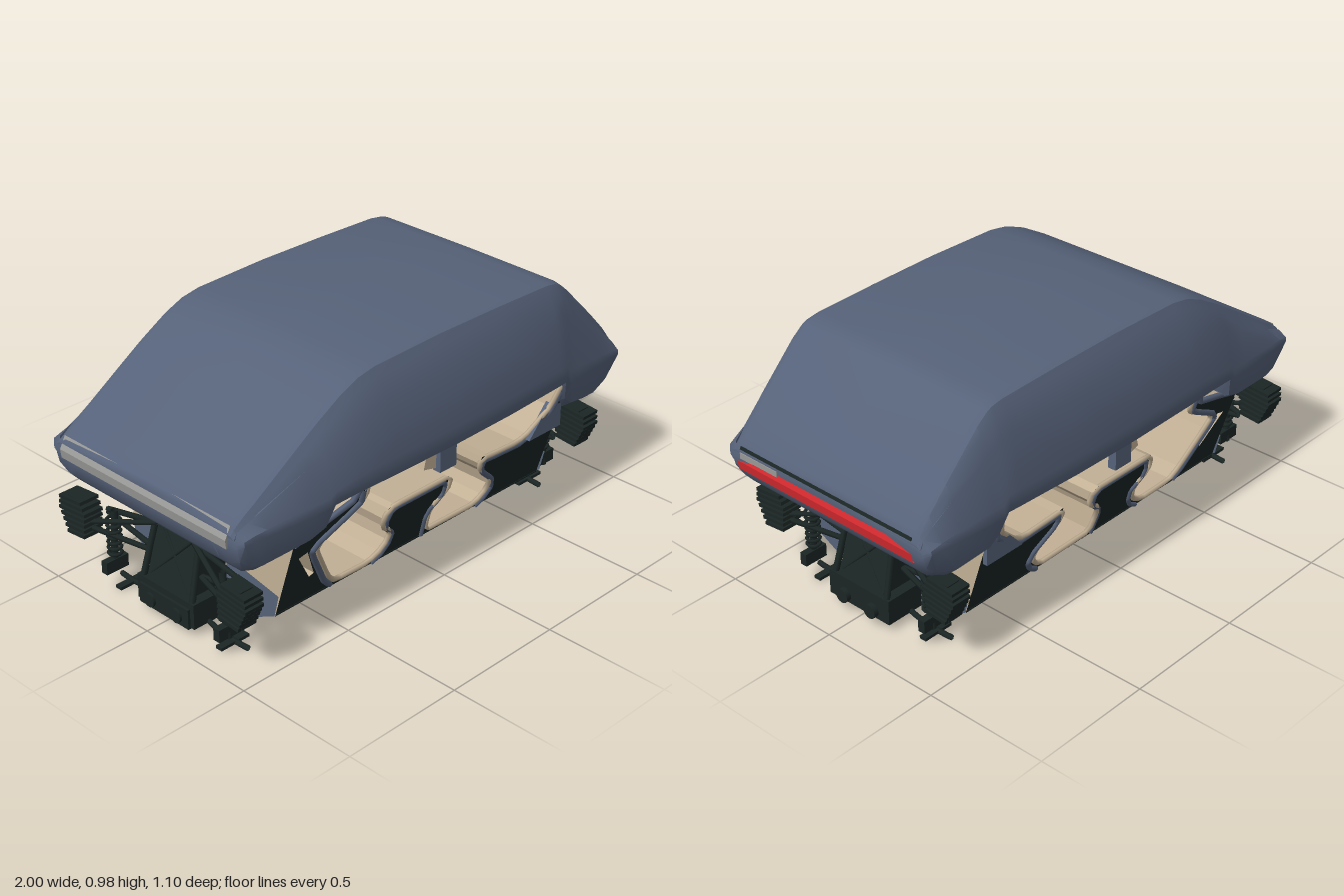
import * as THREE from 'three';
import { toCreasedNormals } from 'three/addons/utils/BufferGeometryUtils.js';

const mat = (name, color) => {
  const m = new THREE.MeshStandardMaterial({ color, side: THREE.DoubleSide });
  m.name = name;
  return m;
};

export function createModel() {
  const root = new THREE.Group();
  root.name = 'vehicle';
  const blue = mat('slate blue', 0x566279);
  const cream = mat('cream lining', 0xc2b095);
  const dark = mat('dark chassis', 0x1b2624);
  const red = mat('red light', 0xd42a2e);
  const grey = mat('grey light', 0x989896);

  const add = (name, geo, material, parent = root) => {
    const m = new THREE.Mesh(geo, material);
    m.name = name;
    parent.add(m);
    return m;
  };
  const box = (name, s, p, material, parent = root) => {
    const m = add(name, new THREE.BoxGeometry(...s), material, parent);
    m.position.set(...p);
    return m;
  };
  // round bar between two points
  const bar = (name, a, b, r, material, parent = root) =>
    add(name, new THREE.TubeGeometry(new THREE.LineCurve3(new THREE.Vector3(...a), new THREE.Vector3(...b)), 1, r, 6), material, parent);
  const shapeOf = pts => new THREE.Shape(pts.map(p => new THREE.Vector2(...p)));
  const extrude = (pts, depth) => new THREE.ExtrudeGeometry(shapeOf(pts), { depth, bevelEnabled: false });

  // ---- Upper shell: x, roof height, bottom edge height
  const stations = [
    [-0.99, 0.59, 0.52], [-0.975, 0.613, 0.465], [-0.93, 0.645, 0.415], [-0.88, 0.675, 0.4], [-0.68, 0.805, 0.42],
    [-0.61, 0.85, 0.45], [-0.585, 0.865, 0.555], [-0.48, 0.925, 0.56], [-0.4, 0.958, 0.56], [-0.32, 0.972, 0.56], [0, 0.98, 0.56],
    [0.3, 0.977, 0.56], [0.58, 0.97, 0.56], [0.63, 0.962, 0.56], [0.655, 0.95, 0.46], [0.7, 0.915, 0.415],
    [0.85, 0.765, 0.39], [0.93, 0.68, 0.425], [0.975, 0.622, 0.475], [0.992, 0.59, 0.515],
  ];
  const section = ([x, top, bot]) => {
    const h = top - bot, w = 0.55 - 0.055 * x * x - (Math.abs(x) > 0.98 ? 0.02 : 0);
    const belt = Math.max(bot + 0.1 * h, Math.min(0.56, top - 0.04));
    const arch = belt + (top - belt) * 0.67;
    const open = x > -0.6 && x < 0.64;
    const ceil = open ? top - 0.05 : bot;
    const edge = open ? 0.02 : 0.075;
    const half = [
      [0, top], [0.42, top - 0.003], [0.445, top - Math.min(0.012, h * 0.1)], [0.462, top - Math.min(0.04, h * 0.25)],
      [w - 0.038, arch], [w - 0.003, belt + 0.1 * h], [w, belt], [w - edge * 0.35, bot + (belt - bot) * 0.25], [w - edge, bot],
      [w - edge - 0.045, bot], [w - edge - 0.05, bot + (ceil - bot) * 0.5], [0.37, ceil], [0, ceil],
    ];
    const mirrored = half.slice(1, -1).reverse().map(([z, y]) => [-z, y]);
    return [...half, ...mirrored].map(([z, y]) => [x, y, z]);
  };
  const rings = stations.map(section), n = rings[0].length;
  const index = [];
  for (let s = 0; s < rings.length - 1; s++) {
    for (let i = 0; i < n; i++) {
      const j = (i + 1) % n, a = s * n, b = a + n;
      index.push(a + i, a + j, b + j, a + i, b + j, b + i);
    }
  }
  const last = (rings.length - 1) * n;
  for (let i = 1; i < n - 1; i++) index.push(0, i + 1, i, last, last + i, last + i + 1);
  const shell = new THREE.BufferGeometry();
  shell.setAttribute('position', new THREE.Float32BufferAttribute(rings.flat(2), 3));
  shell.setIndex(index);
  add('upperShell', toCreasedNormals(shell, 0.6), blue);

  // wedge-shaped light strips across both ends, upper edge tapering by the given factor
  const lightBar = (name, profile, taper, material) => {
    const g = extrude(profile, 0.86).translate(0, 0, -0.43);
    const p = g.attributes.position;
    for (let i = 0; i < p.count; i++) if (p.getY(i) > 0.57) p.setZ(i, p.getZ(i) * taper);
    g.computeVertexNormals();
    add(name, g, material);
  };
  lightBar('rearLight', [[0.985, 0.58], [0.985, 0.51], [0.995, 0.51], [1, 0.545]], 0.45, red);
  lightBar('frontLight', [[-0.975, 0.612], [-1, 0.565], [-0.996, 0.53], [-0.98, 0.53]], 1, grey);
  box('rearLightRecess', [0.007, 0.012, 0.84], [0.988, 0.595, 0], dark).rotation.z = 0.5;
  box('rearLightEnd', [0.006, 0.024, 0.19], [0.992, 0.566, 0.325], grey);

  // ---- Cabin: full width lining, wider towards the top
  const halfWidth = y => 0.33 + 0.3 * y;
  const frontSeat = [[-0.4, 0.56], [-0.395, 0.5], [-0.44, 0.47], [-0.57, 0.4], [-0.595, 0.37], [-0.57, 0.32], [-0.48, 0.17], [-0.44, 0.13]];
  const island = [[-0.27, 0.125], [-0.22, 0.15], [-0.19, 0.19], [-0.185, 0.24], [-0.24, 0.28], [-0.25, 0.32], [-0.235, 0.36], [-0.21, 0.37],
    [0.07, 0.37], [0.095, 0.35], [0.095, 0.31], [0.07, 0.28], [0.035, 0.26], [0.02, 0.22], [0.03, 0.13]];
  const rearSeat = [[0.3, 0.125], [0.34, 0.15], [0.365, 0.19], [0.35, 0.24], [0.27, 0.31], [0.255, 0.34], [0.26, 0.37], [0.3, 0.365],
    [0.46, 0.355], [0.51, 0.37], [0.61, 0.46], [0.64, 0.56]];
  const cowl = [[-0.72, 0.44], [-0.59, 0.48], [-0.46, 0.515], [-0.44, 0.56]];
  const lining = shapeOf([[-0.72, 0.1], ...cowl, ...frontSeat, ...island, ...rearSeat, [0.68, 0.5], [0.68, 0.1]]);
  lining.holes.push(new THREE.Path([[-0.675, 0.35], [-0.635, 0.36], [-0.57, 0.23], [-0.59, 0.22]].map(p => new THREE.Vector2(...p))));
  const cabin = new THREE.ExtrudeGeometry(lining, { depth: 2, bevelEnabled: false }).translate(0, 0, -1);
  const cp = cabin.attributes.position;
  for (let i = 0; i < cp.count; i++) cp.setZ(i, cp.getZ(i) * halfWidth(cp.getY(i)));
  cabin.computeVertexNormals();
  add('cabinLining', cabin, [dark, cream]);

  // piping along the cut edges of the lining
  const piping = (name, pts, z, r, material) => {
    const path = new THREE.CurvePath();
    const v = pts.map(([x, y]) => new THREE.Vector3(x, y, z * halfWidth(y)));
    for (let i = 0; i < v.length - 1; i++) path.add(new THREE.LineCurve3(v[i], v[i + 1]));
    add(name, new THREE.TubeGeometry(path, 70, r, 6), material);
  };
  const shift = (pts, dx, dy) => pts.map(([x, y]) => [x + dx, y + dy]);
  for (const z of [-1, 1]) {
    piping('liningEdge', shift([...frontSeat, ...island, ...rearSeat], 0, -0.006), z, 0.01, cream);
    piping('frontSeatTrim', shift(frontSeat, -0.02, -0.014), z, 0.013, blue);
    piping('islandTrim', island.map(([x, y]) => [-0.075 + (x + 0.075) * 0.87, y - 0.022]), z, 0.01, blue);
    piping('rearSeatTrim', shift(rearSeat, 0.018, -0.022), z, 0.012, blue);
    piping('cowlTrim', shift(cowl, 0, -0.008), z, 0.012, blue);

    // door pillar stub
    box('pillarStub', [0.085, 0.14, 0.035], [0.005, 0.52, z * 0.483], blue);
    box('pillarPad', [0.1, 0.11, 0.03], [-0.04, 0.52, z * 0.465], cream).rotation.z = -0.25;

    // blue corner pieces under the shell
    add('rearCorner', extrude([[0.5, 0.35], [0.68, 0.35], [0.68, 0.47], [0.64, 0.5]], 0.02), blue).position.z = z * 0.455 - 0.01;

    // blue panels on the end walls, below and above the suspension
    for (const x of [-0.73, 0.69]) {
      for (const pts of [
        [[0.1, 0.03], [0.212, 0.03], [0.368, 0.11], [0.39, 0.2], [0.13, 0.25]],
        [[0.1, 0.42], [0.36, 0.42], [0.34, 0.39], [0.15, 0.33], [0.1, 0.33]],
      ]) {
        const panel = new THREE.ShapeGeometry(shapeOf(pts.map(([a, b]) => [a * z, b])));
        add('endWallPanel', panel.rotateY(Math.PI / 2).translate(x, 0, 0), blue);
      }
    }
  }

  // ---- Floor hull, narrower underneath
  const hull = extrude([[-0.92, 0.13], [-0.725, 0.13], [-0.725, 0.365], [0.685, 0.365], [0.685, 0.13], [0.84, 0.13],
    [0.84, -0.13], [0.685, -0.13], [0.685, -0.365], [-0.725, -0.365], [-0.725, -0.13], [-0.92, -0.13]], 0.08)
    .rotateX(-Math.PI / 2).translate(0, 0.03, 0);
  const hp = hull.attributes.position;
  for (let i = 0; i < hp.count; i++) if (hp.getY(i) < 0.05 && Math.abs(hp.getZ(i)) > 0.2) hp.setZ(i, hp.getZ(i) * 0.58);
  hull.computeVertexNormals();
  add('floorHull', hull, dark);

  // ---- Both ends: gear block, braces, lamps and suspension
  for (const [label, side, face, axle] of [['front', -1, 0.9, 0.89], ['rear', 1, 0.84, 0.79]]) {
    const end = new THREE.Group();
    end.name = label + 'Chassis';
    root.add(end);
    const X = v => side * v;
    const block = [[X(0.6), 0.035], [X(face), 0.035], [X(face), 0.12], [X(face - 0.08), 0.39], [X(0.6), 0.39]];
    add('gearBlock', extrude(block, 0.22).translate(0, 0, -0.11), dark, end);
    box('lowerBlock', [0.28, 0.1, 0.3], [X(face - 0.13), 0.085, 0], dark, end);
    for (const z of [-1, 1]) {
      bar('crossBrace', [X(face - 0.015), 0.15, z * 0.1], [X(face - 0.07), 0.36, -z * 0.1], 0.008, dark, end);
      bar('sideBrace', [X(face), 0.12, z * 0.13], [X(face - 0.07), 0.39, z * 0.11], 0.013, dark, end);
      const lamp = add('lamp', new THREE.CylinderGeometry(0.028, 0.028, 0.03, 16), dark, end);
      lamp.rotation.z = Math.PI / 2;
      lamp.position.set(X(face + 0.015), 0.065, z * 0.07);

      // suspension arms
      for (const dx of [-0.06, 0.06]) {
        bar('upperArm', [X(axle - 0.04), 0.34, z * 0.1], [X(axle + dx), 0.26, z * 0.4], 0.011, dark, end);
        bar('lowerArm', [X(axle - 0.06), 0.2, z * 0.1], [X(axle + dx), 0.25, z * 0.4], 0.011, dark, end);
      }
      // finned hub unit
      const hubX = X(axle + 0.045);
      for (let i = 0; i < 7; i++) {
        const fin = box('hubFin', [0.085, 0.013, 0.145 - Math.abs(i - 4) * 0.012], [hubX, 0.215 + i * 0.022, z * (0.405 + i * 0.004)], dark, end);
        fin.rotation.x = z * 0.1;
      }
      box('hubCore', [0.055, 0.15, 0.07], [hubX, 0.28, z * 0.42], dark, end);

      // coil damper
      bar('damper', [X(axle), 0.07, z * 0.305], [X(axle), 0.33, z * 0.285], 0.014, dark, end);
      for (let i = 0; i < 7; i++) {
        const coil = add('coil', new THREE.TorusGeometry(0.024, 0.007, 5, 12), dark, end);
        coil.rotation.x = Math.PI / 2;
        coil.position.set(X(axle), 0.15 + i * 0.023, z * 0.295);
      }
      box('damperFoot', [0.1, 0.05, 0.03], [X(axle), 0.1, z * 0.3], dark, end);

      // curved skid blade with a cross bar
      const curve = new THREE.QuadraticBezierCurve3(
        new THREE.Vector3(X(axle - 0.05), 0.045, z * 0.13), new THREE.Vector3(X(axle - 0.05), 0.01, z * 0.22),
        new THREE.Vector3(X(axle - 0.06), 0.012, z * 0.34));
      add('skidBlade', new THREE.TubeGeometry(curve, 10, 0.011, 6), dark, end);
      box('skidBar', [0.13, 0.012, 0.03], [X(axle - 0.05), 0.014, z * 0.27], dark, end);
    }
  }
  return root;
}
